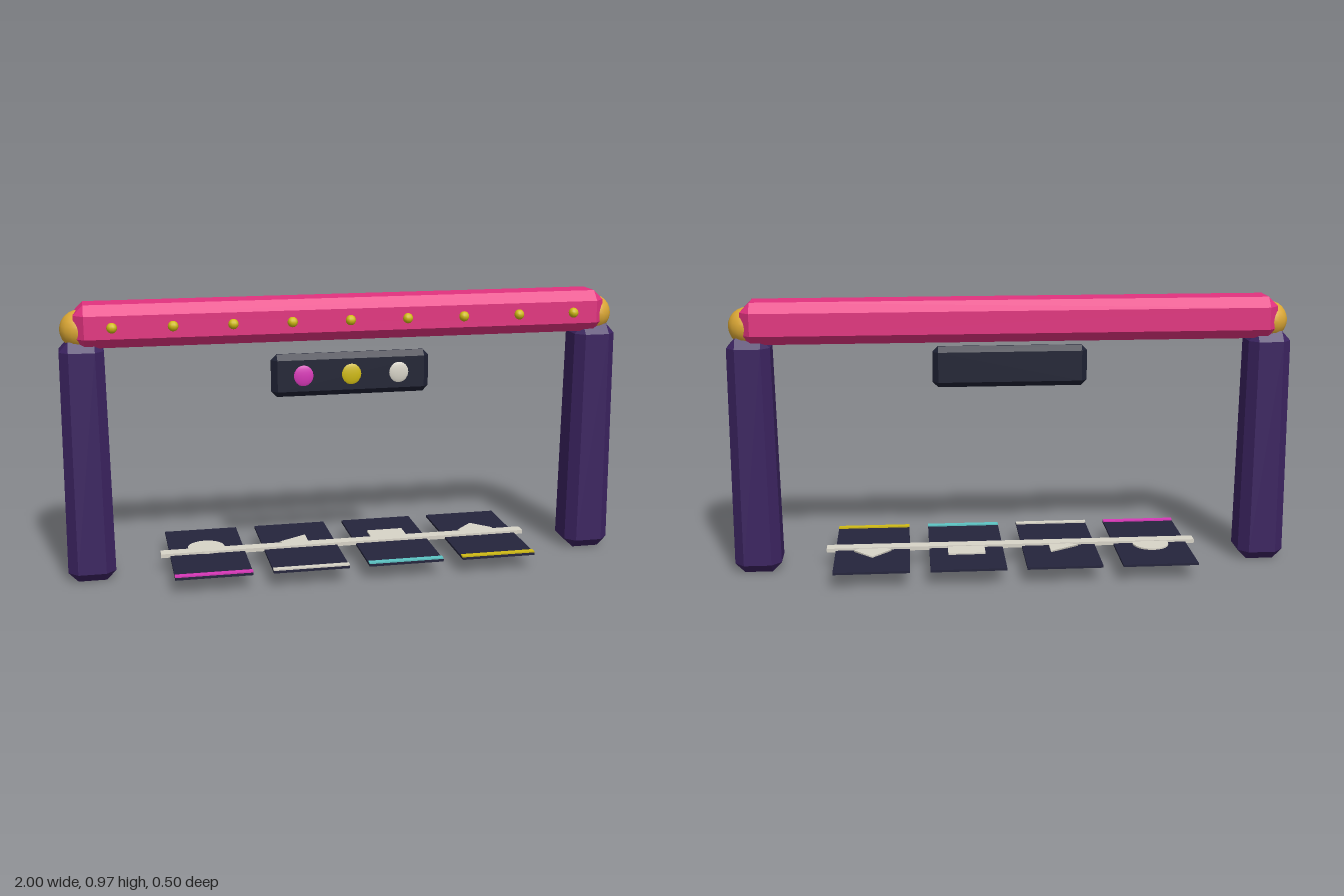
import * as THREE from 'three';
import { ConvexGeometry } from 'three/addons/geometries/ConvexGeometry.js';

const paint = (name, color) => {
  const m = new THREE.MeshStandardMaterial({ color });
  m.name = name;
  return m;
};

// Box with every edge chamfered by c; the top can be narrowed by a taper factor
function chamferBox(w, h, d, c, taper = 1) {
  const half = [w / 2, h / 2, d / 2];
  const points = [];
  for (let axis = 0; axis < 3; axis++)
    for (const sx of [-1, 1]) for (const sy of [-1, 1]) for (const sz of [-1, 1]) {
      const p = [sx, sy, sz].map((s, i) => s * (half[i] - (i === axis ? 0 : c)));
      const k = 1 + (taper - 1) * (p[1] / h + 0.5);
      points.push(new THREE.Vector3(p[0] * k, p[1], p[2] * k));
    }
  return new ConvexGeometry(points);
}

export function createModel() {
  const pink = paint('pink', 0xe2327f);
  const purple = paint('deep purple', 0x3b2360);
  const navy = paint('navy', 0x24243c);
  const slate = paint('dark slate', 0x1e2133);
  const gold = paint('gold', 0xdca835);
  const yellow = paint('yellow', 0xd0bb14);
  const white = paint('warm white', 0xd8d4c8);
  const teal = paint('teal', 0x5cc4c4);
  const magenta = paint('magenta', 0xd838b8);

  const model = new THREE.Group();
  model.name = 'archway';
  const add = (name, geometry, material, x, y, z) => {
    const mesh = new THREE.Mesh(geometry, material);
    mesh.name = name;
    mesh.position.set(x, y, z);
    model.add(mesh);
    return mesh;
  };

  // Posts with a round joint on top of each
  const post = chamferBox(0.166, 0.85, 0.166, 0.034, 0.9);
  const joint = new THREE.SphereGeometry(0.067, 16, 12);
  for (const [side, s] of [['left', 1], ['right', -1]]) {
    add(side + 'Post', post, purple, s * 0.917, 0.425, 0);
    add(side + 'Joint', joint, gold, s * 0.92, 0.886, 0);
  }

  // Cross beam with a row of bulbs
  add('beam', chamferBox(1.88, 0.147, 0.168, 0.034), pink, 0, 0.901, 0);
  const bulb = new THREE.SphereGeometry(0.018, 10, 8);
  for (let i = -4; i <= 4; i++) add('bulb', bulb, yellow, i * 0.2035, 0.902, 0.093);

  // Lamp panel
  add('lampPanel', chamferBox(0.56, 0.15, 0.045, 0.02), slate, 0, 0.715, 0.083);
  const lens = new THREE.SphereGeometry(0.041, 16, 10).scale(0.95, 1, 0.25);
  [magenta, yellow, white].forEach((m, i) => add('lamp', lens, m, (i - 1) * 0.169, 0.715, 0.101));

  // Floor tiles, each with a coloured front strip and a flat symbol
  const tile = new THREE.BoxGeometry(0.268, 0.008, 0.504);
  const strip = new THREE.BoxGeometry(0.268, 0.007, 0.022);
  const symbol = (r, sides, turn) =>
    new THREE.CylinderGeometry(r, r, 0.006, sides, 1, false, turn);
  const tiles = [
    [magenta, symbol(0.066, 24, 0)],
    [white, symbol(0.07, 3, -Math.PI / 2)],
    [teal, new THREE.BoxGeometry(0.134, 0.006, 0.12)],
    [yellow, symbol(0.068, 4, 0)],
  ];
  tiles.forEach(([color, shape], i) => {
    const x = (i - 1.5) * 0.339;
    add('floorTile', tile, navy, x, 0.058, 0);
    add('tileStrip', strip, color, x, 0.0635, 0.237);
    add('tileSymbol', shape, white, x, 0.0645, -0.039);
  });

  // Rail joining the tiles
  add('rail', new THREE.BoxGeometry(1.35, 0.014, 0.044), white, 0, 0.063, 0);

  return model;
}
